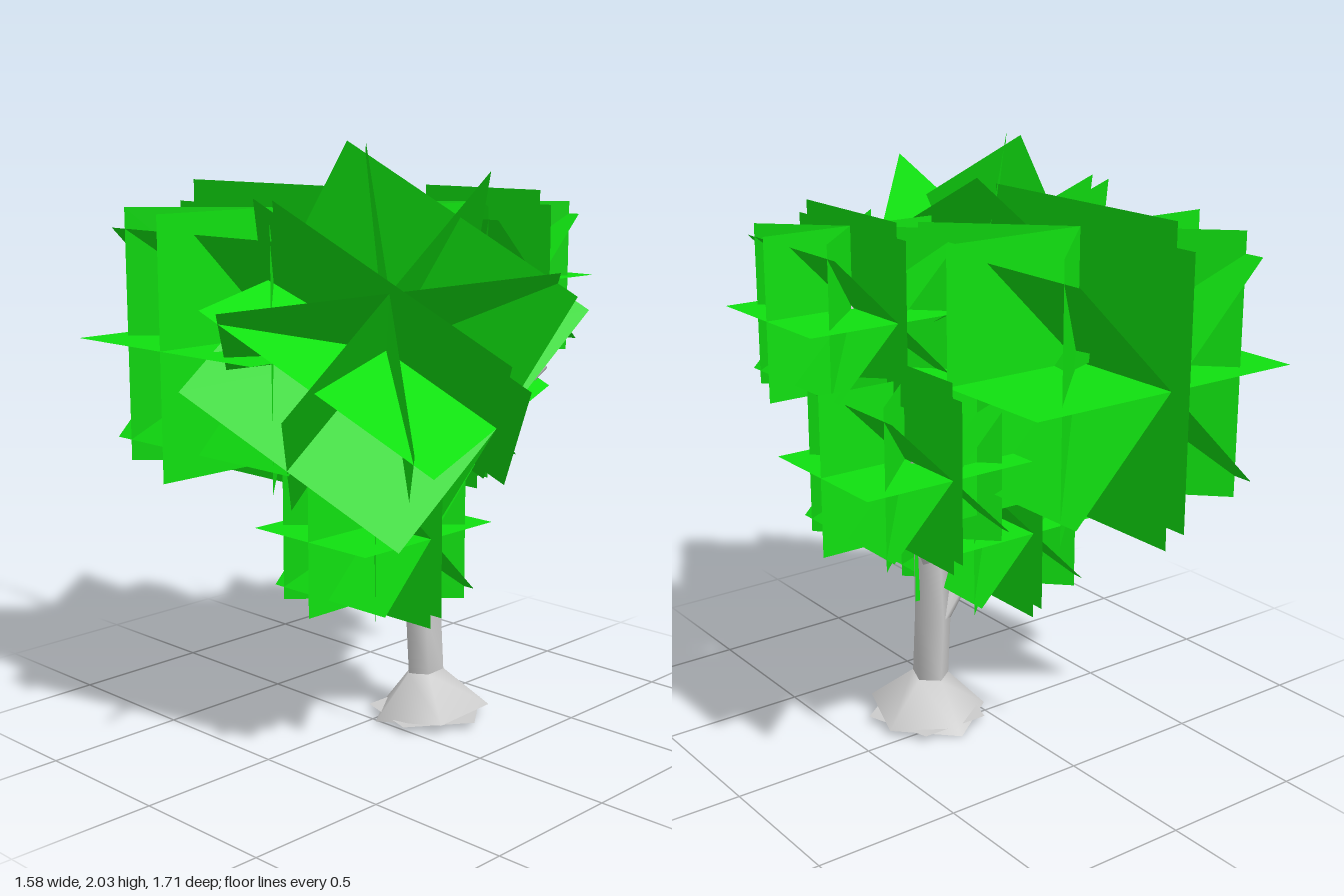
import * as THREE from 'three';

const bark = new THREE.MeshStandardMaterial({ color: 0xcccccc, side: THREE.DoubleSide });
const leaf = new THREE.MeshStandardMaterial({ color: 0x10e010, side: THREE.DoubleSide });

// Tapered five-sided limb; each ring is [x, y, z, radius]
function limb(name, rings, sides = 5) {
  const pts = rings.map(r => new THREE.Vector3(r[0], r[1], r[2]));
  const pos = [], idx = [];
  rings.forEach((ring, i) => {
    const t = pts[Math.min(i + 1, pts.length - 1)].clone().sub(pts[Math.max(i - 1, 0)]).normalize();
    const u = new THREE.Vector3(0, 0, 1).cross(t).normalize();
    const v = t.clone().cross(u);
    for (let k = 0; k < sides; k++) {
      const a = -Math.PI / 2 + (k / sides) * Math.PI * 2;
      const p = pts[i].clone().addScaledVector(u, Math.cos(a) * ring[3]).addScaledVector(v, Math.sin(a) * ring[3]);
      pos.push(p.x, p.y, p.z);
      if (i > 0) {
        const n = (k + 1) % sides, lo = (i - 1) * sides, hi = i * sides;
        idx.push(lo + k, lo + n, hi + k, lo + n, hi + n, hi + k);
      }
    }
  });
  // close the tip
  const last = (rings.length - 1) * sides;
  for (let k = 1; k < sides - 1; k++) idx.push(last, last + k, last + k + 1);
  const g = new THREE.BufferGeometry();
  g.setAttribute('position', new THREE.Float32BufferAttribute(pos, 3));
  g.setIndex(idx);
  g.computeVertexNormals();
  const mesh = new THREE.Mesh(g, bark);
  mesh.name = name;
  return mesh;
}

// Leaf clump: two fans of four crossing cards, one about y and one about z
function foliage(name, center, a, b) {
  const clump = new THREE.Group();
  clump.name = name;
  const card = new THREE.PlaneGeometry(2 * a, 2 * b);
  for (let fan = 0; fan < 2; fan++) {
    const holder = new THREE.Group();
    holder.name = fan ? 'lyingFan' : 'uprightFan';
    holder.rotation.x = fan * Math.PI / 2;
    for (let i = 0; i < 4; i++) {
      const m = new THREE.Mesh(card, leaf);
      m.name = 'leafCard';
      m.rotation.y = i * Math.PI / 4;
      holder.add(m);
    }
    clump.add(holder);
  }
  clump.position.set(...center);
  return clump;
}

export function createModel() {
  const tree = new THREE.Group();
  tree.name = 'tree';

  // Flared root and its flat underside
  tree.add(limb('rootFlare', [[0.18, 0, 0.105, 0.215], [0.175, 0.14, 0.09, 0.068]]));
  const sole = new THREE.Mesh(new THREE.CircleGeometry(0.215, 5, Math.PI / 2), bark);
  sole.name = 'rootUnderside';
  sole.rotation.x = Math.PI / 2;
  sole.position.set(0.18, 0, 0.105);
  tree.add(sole);

  // Trunk and branches
  tree.add(
    limb('trunk', [[0.175, 0.14, 0.09, 0.066], [0.17, 0.36, 0.08, 0.066], [0.19, 0.6, 0.06, 0.06],
      [0.2, 0.8, 0.06, 0.058], [0.19, 0.98, 0.06, 0.05], [0.19, 1.12, 0.05, 0.04]]),
    limb('lowerBranch', [[0.16, 0.36, 0.08, 0.055], [0.03, 0.52, 0.07, 0.035], [-0.13, 0.67, 0.06, 0.012]]),
    limb('rearRightBranch', [[0.2, 0.62, 0.05, 0.05], [0.28, 0.76, -0.04, 0.045], [0.37, 0.88, -0.13, 0.032], [0.44, 1.07, -0.22, 0.015]]),
    limb('frontRightBranch', [[0.19, 0.94, 0.08, 0.04], [0.27, 0.99, 0.17, 0.03], [0.38, 1.1, 0.27, 0.02], [0.49, 1.23, 0.36, 0.006]]),
    limb('upperRightBranch', [[0.19, 1.04, 0.05, 0.042], [0.27, 1.2, 0.06, 0.034], [0.38, 1.37, 0.065, 0.024], [0.49, 1.53, 0.065, 0.014]]),
    limb('rearBranch', [[0.19, 0.97, 0.05, 0.04], [0.05, 1.04, -0.05, 0.034], [-0.04, 1.2, -0.16, 0.025], [-0.1, 1.4, -0.25, 0.012]]),
    limb('frontLeafBranch', [[0.19, 0.93, 0.07, 0.035], [0.03, 0.98, 0.1, 0.03], [-0.08, 1.2, 0.15, 0.015]])
  );

  // Leaf clumps
  tree.add(
    foliage('rearFoliage', [-0.13, 1.333, -0.328], 0.52, 0.441),
    foliage('upperSideFoliage', [0.478, 1.522, 0.065], 0.31, 0.262),
    foliage('lowerSideFoliage', [0.44, 1.07, -0.165], 0.31, 0.262),
    foliage('lowFoliage', [-0.055, 0.712, 0.06], 0.31, 0.262)
  );

  // Tilted front clump, oriented by its own axes
  const front = foliage('frontFoliage', [-0.133, 1.335, 0.19], 0.52, 0.441);
  const x = new THREE.Vector3(0.725, 0.677, 0.139).normalize();
  const z = x.clone().cross(new THREE.Vector3(-0.602, 0.506, 0.596)).normalize();
  const y = z.clone().cross(x);
  front.quaternion.setFromRotationMatrix(new THREE.Matrix4().makeBasis(x, y, z));
  tree.add(front);
  return tree;
}
